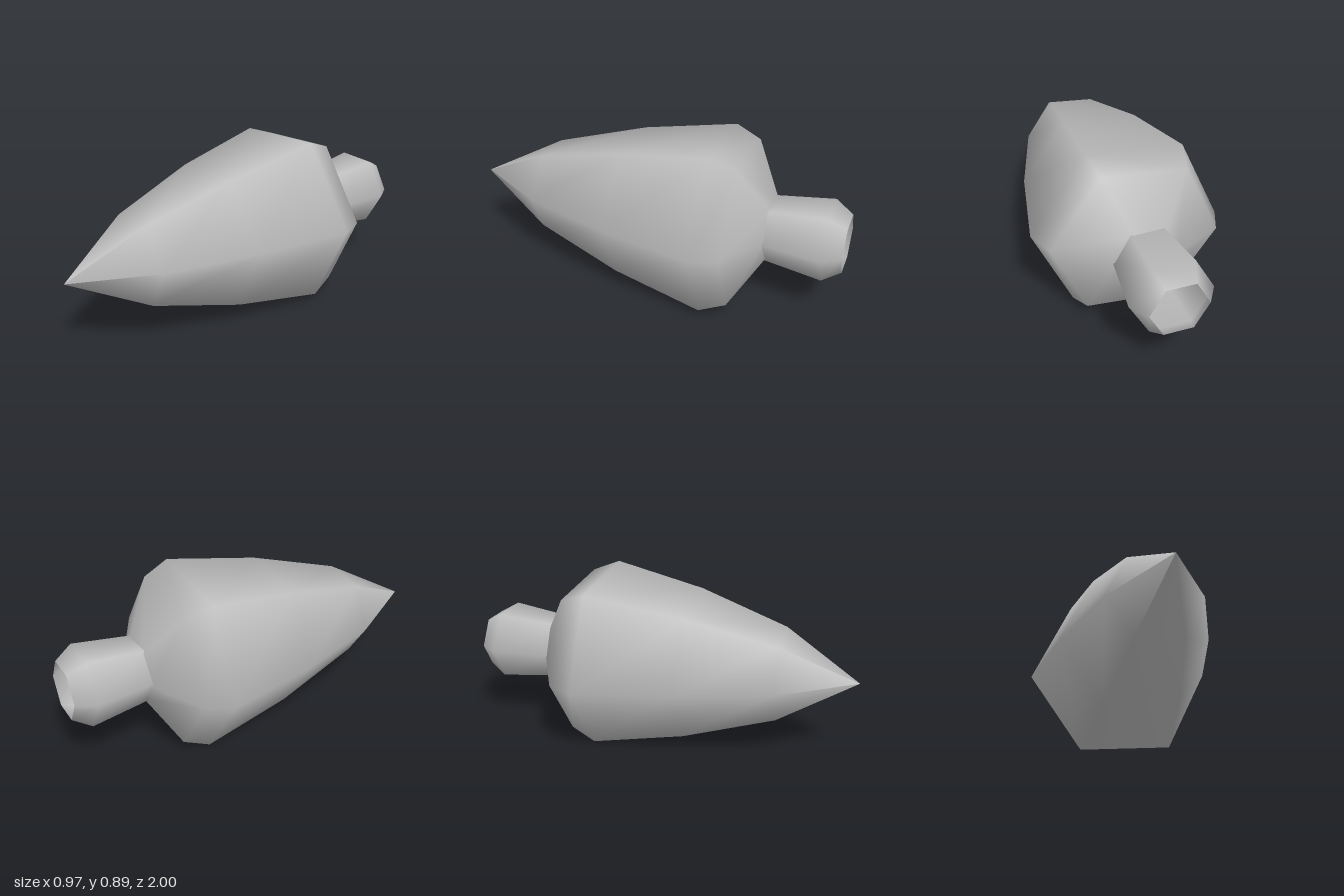
import * as THREE from 'three';

const CENTRE_Y = 0.445;

// Six-sided smooth shell around the z axis; profile holds [radius, z] from back to front.
function hexShell(name, profile, twist, material) {
  const points = profile.map(([r, z]) => new THREE.Vector2(r, z));
  const start = THREE.MathUtils.degToRad(30 + twist);
  const geometry = new THREE.LatheGeometry(points, 6, start);
  geometry.rotateX(Math.PI / 2);
  const mesh = new THREE.Mesh(geometry, material);
  mesh.name = name;
  mesh.position.y = CENTRE_Y;
  return mesh;
}

export function createModel() {
  const group = new THREE.Group();
  group.name = 'pointedBud';

  const grey = new THREE.MeshStandardMaterial({ color: 0xbcbcbc, side: THREE.DoubleSide });
  grey.name = 'grey';

  // Pointed body, slightly twisted against the stem
  group.add(hexShell('body', [
    [0.15, -0.625], [0.43, -0.472], [0.488, -0.337],
    [0.388, 0.145], [0.237, 0.61], [0, 1],
  ], 5.2, grey));

  // Hollow stem, open at the back
  group.add(hexShell('stem', [
    [0.145, -1], [0.205, -0.908], [0.167, -0.615], [0.16, -0.56],
  ], 0, grey));

  return group;
}
